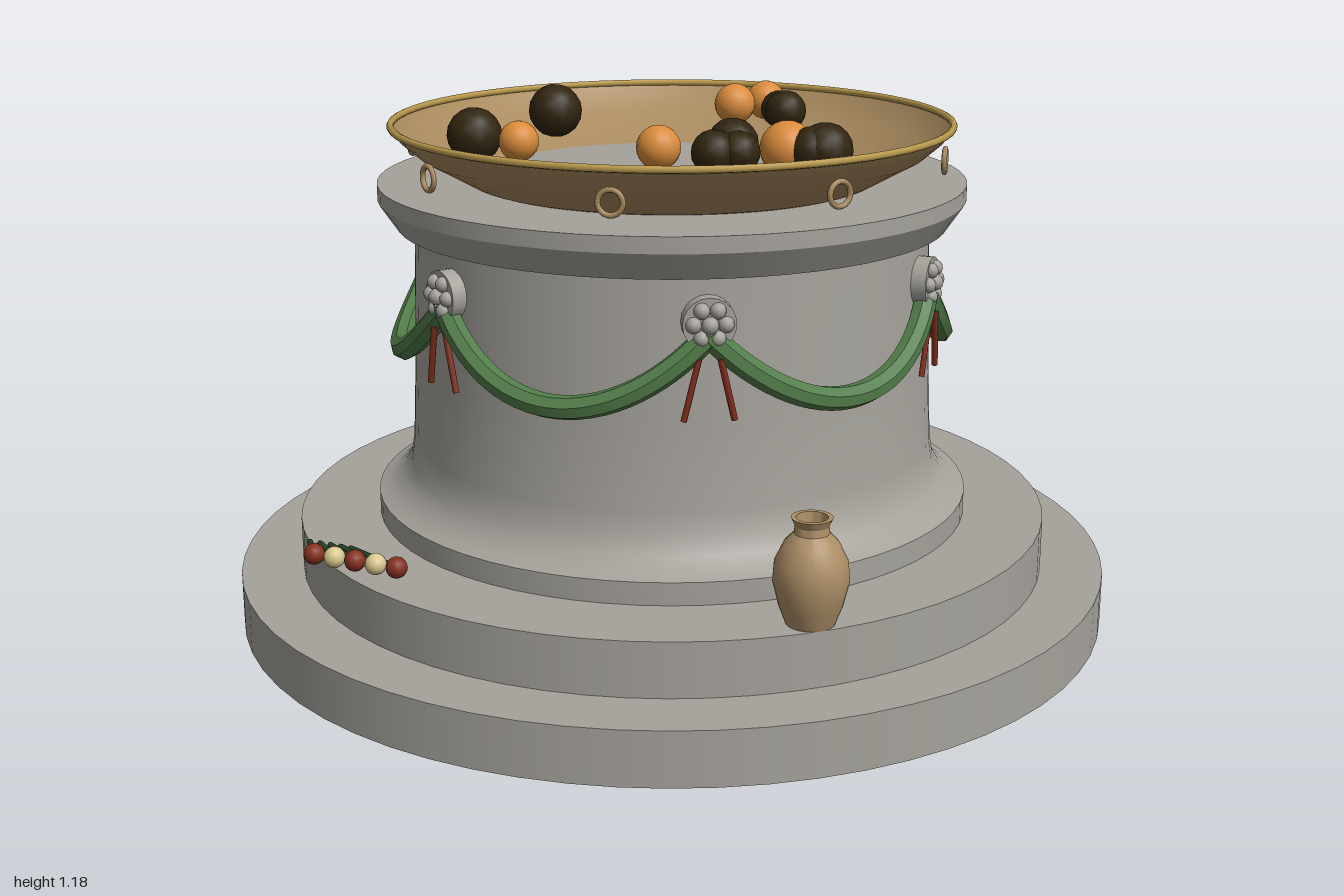
import * as THREE from 'three';
import { toCreasedNormals } from 'three/addons/utils/BufferGeometryUtils.js';

const paint = (color, side = THREE.FrontSide) => new THREE.MeshStandardMaterial({ color, side });

export function createModel() {
  const stone = paint(0xa5a29b);
  const bronze = paint(0xa88a5e, THREE.DoubleSide);
  const gold = paint(0xb8984c);
  const coal = paint(0x30240f);
  const ember = paint(0xda8c3c);
  const clay = paint(0xac8e66, THREE.DoubleSide);
  const leaf = paint(0x527d4a);
  const stemGreen = paint(0x2f4a2e);
  const red = paint(0x84301f);
  const cream = paint(0xd8c88e);

  const model = new THREE.Group();
  const add = (name, geometry, material, x = 0, y = 0, z = 0, parent = model) => {
    const mesh = new THREE.Mesh(geometry, material);
    mesh.name = name;
    mesh.position.set(x, y, z);
    parent.add(mesh);
    return mesh;
  };
  const lathe = (points, segments) => toCreasedNormals(
    new THREE.LatheGeometry(points.map(([r, y]) => new THREE.Vector2(r, y)), segments), 0.5);
  // Thin straight rod between two points
  const rod = (name, a, b, radius, material, parent) => {
    const mesh = add(name, new THREE.CylinderGeometry(radius, radius, a.distanceTo(b), 6), material, 0, 0, 0, parent);
    mesh.position.copy(a).lerp(b, 0.5);
    mesh.quaternion.setFromUnitVectors(new THREE.Vector3(0, 1, 0), b.clone().sub(a).normalize());
    return mesh;
  };
  // Point on the drum: angle measured from the front toward the left side
  const around = (angle, radius, y) => new THREE.Vector3(Math.sin(angle) * radius, y, Math.cos(angle) * radius);

  // Stepped base
  add('lowerStep', new THREE.CylinderGeometry(1, 1, 0.12, 64), stone, 0, 0.06);
  add('upperStep', new THREE.CylinderGeometry(0.86, 0.86, 0.12, 64), stone, 0, 0.18);

  // Drum with flared foot and cornice
  add('drum', lathe([
    [0, 0.24], [0.68, 0.24], [0.68, 0.29], [0.655, 0.3], [0.625, 0.325], [0.605, 0.36], [0.597, 0.41],
    [0.588, 0.6], [0.58, 0.9], [0.62, 0.905], [0.66, 0.965], [0.66, 1], [0, 1],
  ], 64), stone);

  // Shallow open bowl, gold rim and small ring handles
  add('bowl', lathe([[0.42, 0.99], [0.46, 1.003], [0.57, 1.065], [0.61, 1.1], [0.63, 1.128]], 64), bronze);
  const rim = add('bowlRim', new THREE.TorusGeometry(0.626, 0.008, 8, 64), gold, 0, 1.125);
  rim.rotation.x = Math.PI / 2;
  for (let i = 0; i < 8; i++) {
    const angle = 0.2 + i * Math.PI / 4;
    const p = around(angle, 0.61, 1.055);
    add('bowlRing', new THREE.TorusGeometry(0.026, 0.006, 8, 18), bronze, p.x, p.y, p.z).rotation.y = angle;
  }

  // Coals and embers: x, z, radius
  const coals = [[-0.32, -0.06, 0.062], [-0.325, 0.325, 0.06], [0.23, 0.215, 0.055], [0.235, 0.335, 0.048],
    [0.28, 0.31, 0.045], [0.435, 0.215, 0.058], [0.41, 0.23, 0.05], [0.15, -0.29, 0.043], [0.175, -0.265, 0.048]];
  const embers = [[0.07, -0.415, 0.046], [0.025, -0.325, 0.048], [-0.2, 0.36, 0.043], [0.105, 0.32, 0.047],
    [0.355, 0.225, 0.058]];
  for (const [x, z, r] of coals) add('coal', new THREE.IcosahedronGeometry(r, 2), coal, x, 1.12, z);
  for (const [x, z, r] of embers) add('ember', new THREE.SphereGeometry(r, 18, 12), ember, x, 1.12, z);

  // Six rosettes with ribbons, joined by hanging garlands
  const step = Math.PI / 3;
  for (let i = 0; i < 6; i++) {
    const angle = Math.PI / 6 + i * step;
    const rosette = new THREE.Group();
    rosette.name = 'rosette';
    rosette.position.copy(around(angle, 0.585, 0.81));
    rosette.rotation.y = angle;
    model.add(rosette);
    const disc = add('rosetteDisc', new THREE.CylinderGeometry(0.055, 0.055, 0.045, 20), stone, 0, 0, 0.005, rosette);
    disc.rotation.x = Math.PI / 2;
    add('rosetteCentre', new THREE.SphereGeometry(0.018, 12, 8), stone, 0, 0, 0.034, rosette);
    for (let k = 0; k < 6; k++) {
      const a = k * step;
      add('rosettePetal', new THREE.SphereGeometry(0.017, 12, 8), stone,
        Math.cos(a) * 0.033, Math.sin(a) * 0.033, 0.028, rosette);
    }
    for (const side of [-1, 1]) {
      rod('ribbon', new THREE.Vector3(side * 0.022, -0.07, 0.03),
        new THREE.Vector3(side * 0.052, -0.2, 0.025), 0.007, red, rosette);
    }

    const points = [];
    for (let k = 0; k <= 12; k++) {
      const t = k / 12;
      const sag = 4 * t * (1 - t);
      points.push(around(angle + t * step, 0.6 + 0.018 * sag, 0.785 - 0.157 * sag));
    }
    const curve = new THREE.CatmullRomCurve3(points);
    add('garland', toCreasedNormals(new THREE.TubeGeometry(curve, 28, 0.026, 7), 0.6), leaf);
  }

  // Clay jar on the step
  add('jar', lathe([
    [0, 0], [0.05, 0], [0.065, 0.04], [0.077, 0.09], [0.074, 0.13], [0.055, 0.17], [0.036, 0.19],
    [0.034, 0.205], [0.042, 0.222], [0.032, 0.222], [0.028, 0.19], [0, 0.185],
  ], 28), clay, 0.55, 0.24, 0.595);

  // Row of laid flowers
  for (let i = 0; i < 5; i++) {
    const head = new THREE.Vector3(-0.5 + i * 0.05, 0.283, 0.755);
    rod('flowerStem', new THREE.Vector3(-0.6 + i * 0.026, 0.248, 0.62), head, 0.007, stemGreen);
    add('flowerHead', new THREE.SphereGeometry(0.023, 14, 10), i % 2 ? cream : red, head.x, head.y, head.z);
  }
  return model;
}
